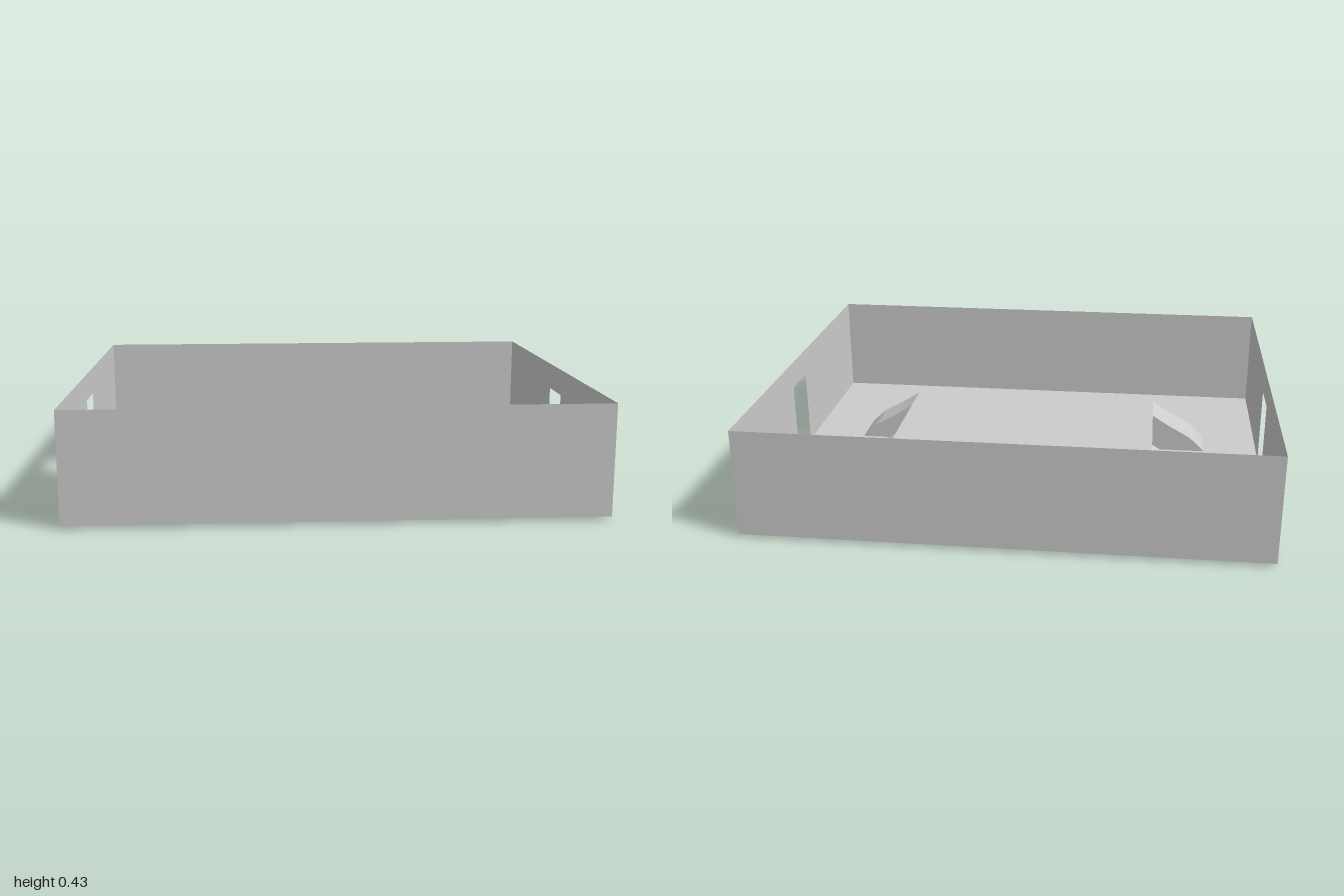
import * as THREE from 'three';

const W = 2, D = 1.66, FLOOR = 0.015, TOP = 0.437, DECK = 0.175;

const material = new THREE.MeshStandardMaterial({ color: 0xcccccc, side: THREE.DoubleSide, flatShading: true });

function add(parent, name, geometry, x = 0, y = 0, z = 0, turn = 0) {
  const mesh = new THREE.Mesh(geometry, material);
  mesh.name = name;
  mesh.position.set(x, y, z);
  mesh.rotation.y = turn;
  parent.add(mesh);
  return mesh;
}

function outline(points) {
  return new THREE.Shape(points.map(([x, y]) => new THREE.Vector2(x, y)));
}

// Thin wall with a doorway cut up from the floor
function wallGeometry(width, doorHalf, doorTop) {
  const h = width / 2;
  return new THREE.ShapeGeometry(outline([
    [-h, FLOOR], [-doorHalf, FLOOR], [-doorHalf, doorTop], [doorHalf, doorTop],
    [doorHalf, FLOOR], [h, FLOOR], [h, TOP], [-h, TOP],
  ]));
}

export function createModel() {
  const model = new THREE.Group();
  model.name = 'walledRoom';

  // Floor
  const floor = new THREE.PlaneGeometry(W, D);
  floor.rotateX(-Math.PI / 2);
  add(model, 'floor', floor, 0, FLOOR, 0);

  // Long walls with closed doors, short walls with open doorways
  const doorHeight = 0.32 - FLOOR;
  for (const s of [1, -1]) {
    const turn = s > 0 ? 0 : Math.PI;
    const label = s > 0 ? 'front' : 'back';
    add(model, label + 'Wall', wallGeometry(W, 0.113, 0.32), 0, 0, s * D / 2, turn);
    add(model, label + 'Door', new THREE.PlaneGeometry(0.226, doorHeight),
      0, FLOOR + doorHeight / 2, s * D / 2, turn);
    add(model, s > 0 ? 'leftWall' : 'rightWall', wallGeometry(D, 0.086, 0.33),
      s * W / 2, 0, 0, s * Math.PI / 2);
  }

  // Raised deck, open underneath
  const platform = new THREE.Group();
  platform.name = 'platform';
  model.add(platform);
  const deck = new THREE.PlaneGeometry(1.08, 0.655);
  deck.rotateX(-Math.PI / 2);
  add(platform, 'deck', deck, 0, DECK, -0.01);

  // Four corner ramps that carry the deck and reach just below the floor
  const profile = [[0.37, 0.003], [0.765, 0.003], [0.765, 0.02], [0.73, 0.055],
    [0.70, 0.08], [0.61, 0.13], [0.54, DECK], [0.37, DECK]];
  for (const s of [1, -1]) {
    const points = profile.map(([x, y]) => [s * x, y]);
    for (const z of [0.15, -0.342]) {
      const ramp = new THREE.ExtrudeGeometry(outline(points), { depth: 0.17, bevelEnabled: false });
      add(platform, 'ramp', ramp, 0, 0, z);
    }
  }

  // Small square post under the deck
  add(model, 'post', new THREE.CylinderGeometry(0.013, 0.013, 0.06, 4), 0, 0.05, 0.002);

  return model;
}
